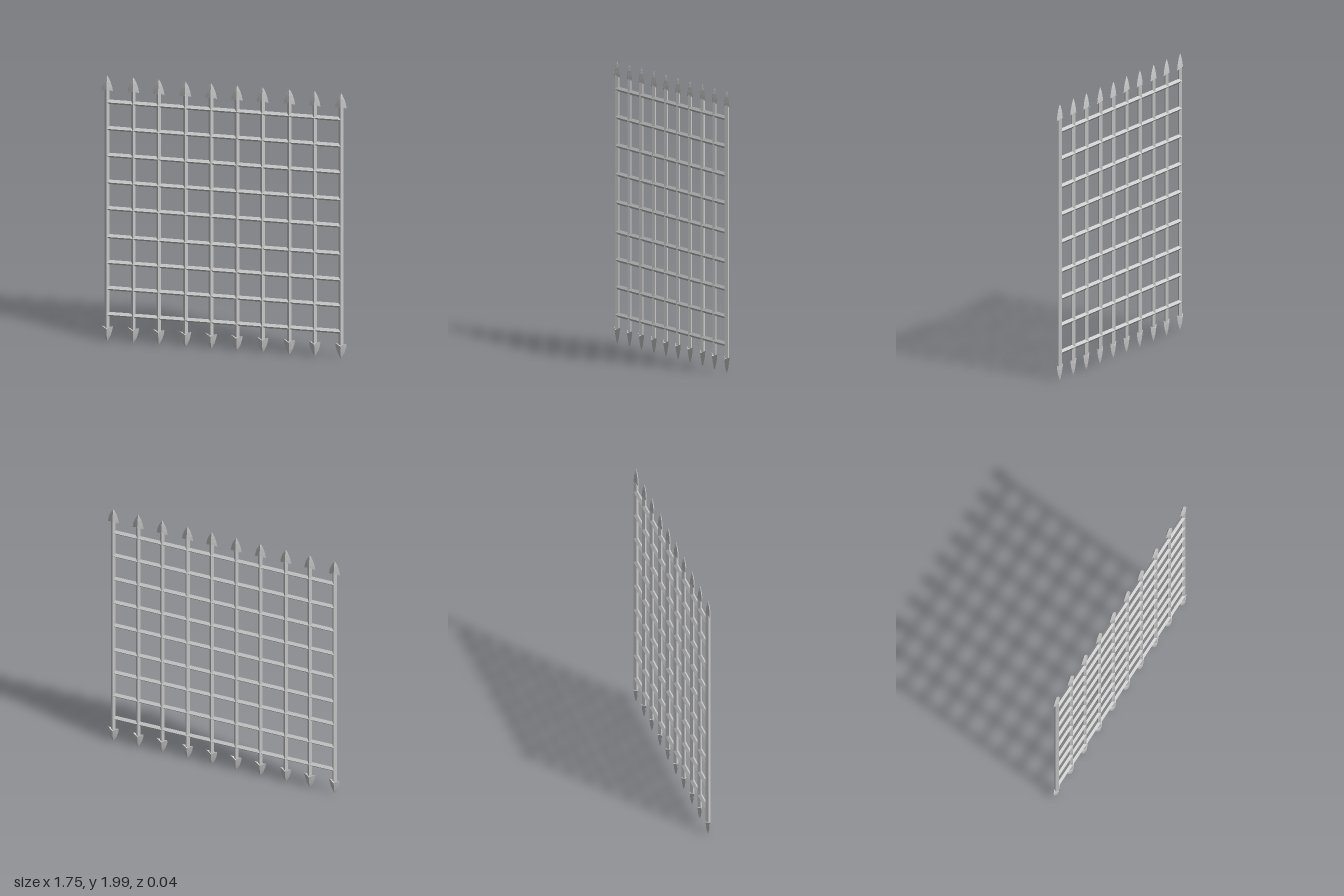
import * as THREE from 'three';

const material = new THREE.MeshStandardMaterial({ color: 0xcccccc, flatShading: true });
const BAR_RADIUS = 0.017;

// Square bar set on its edge, so its section is a diamond
function bar(name, length) {
  const mesh = new THREE.Mesh(new THREE.CylinderGeometry(BAR_RADIUS, BAR_RADIUS, length, 4), material);
  mesh.name = name;
  return mesh;
}

// Barbed spear head pointing up, tip at y = 0: [y, half width, half depth] per level
function spearHeadGeometry() {
  const levels = [
    [-0.115, 0.042, 0.018],
    [-0.08, 0.036, 0.016],
    [-0.045, 0.025, 0.012],
    [-0.02, 0.013, 0.007],
    [0, 0.0005, 0.0005],
  ];
  const notch = 0.018;
  const steps = levels.length - 1;
  const geometry = new THREE.CylinderGeometry(1, 1, 1, 4, steps);
  const p = geometry.attributes.position;
  for (let i = 0; i < p.count; i++) {
    const x = p.getX(i), z = p.getZ(i);
    const k = Math.round((p.getY(i) + 0.5) * steps);
    const [y, width, depth] = levels[k];
    // The base is notched upward at its middle, leaving two barbs
    const lift = k === 0 ? notch * (1 - Math.abs(x)) : 0;
    p.setXYZ(i, x * width, y + lift, z * depth);
  }
  const flat = geometry.toNonIndexed();
  flat.computeVertexNormals();
  return flat;
}

export function createModel() {
  const model = new THREE.Group();
  model.name = 'spikedGrate';
  const headGeometry = spearHeadGeometry();

  // Upright bars with a spear head at each end
  const uprights = [-0.834, -0.647, -0.466, -0.275, -0.092, 0.092, 0.275, 0.466, 0.647, 0.834];
  for (const x of uprights) {
    const spear = new THREE.Group();
    spear.name = 'spear';
    const shaft = bar('uprightBar', 1.79);
    shaft.position.y = 1.005;
    const top = new THREE.Mesh(headGeometry, material);
    top.name = 'topSpearHead';
    top.position.y = 2;
    const bottom = new THREE.Mesh(headGeometry, material);
    bottom.name = 'bottomSpearHead';
    bottom.rotation.z = Math.PI;
    bottom.position.y = 0.006;
    spear.add(shaft, top, bottom);
    spear.position.x = x;
    model.add(spear);
  }

  // Cross bars
  for (const y of [0.21, 0.405, 0.6, 0.794, 1.004, 1.203, 1.404, 1.605, 1.804]) {
    const cross = bar('crossBar', 1.67);
    cross.rotation.z = Math.PI / 2;
    cross.position.y = y;
    model.add(cross);
  }
  return model;
}
